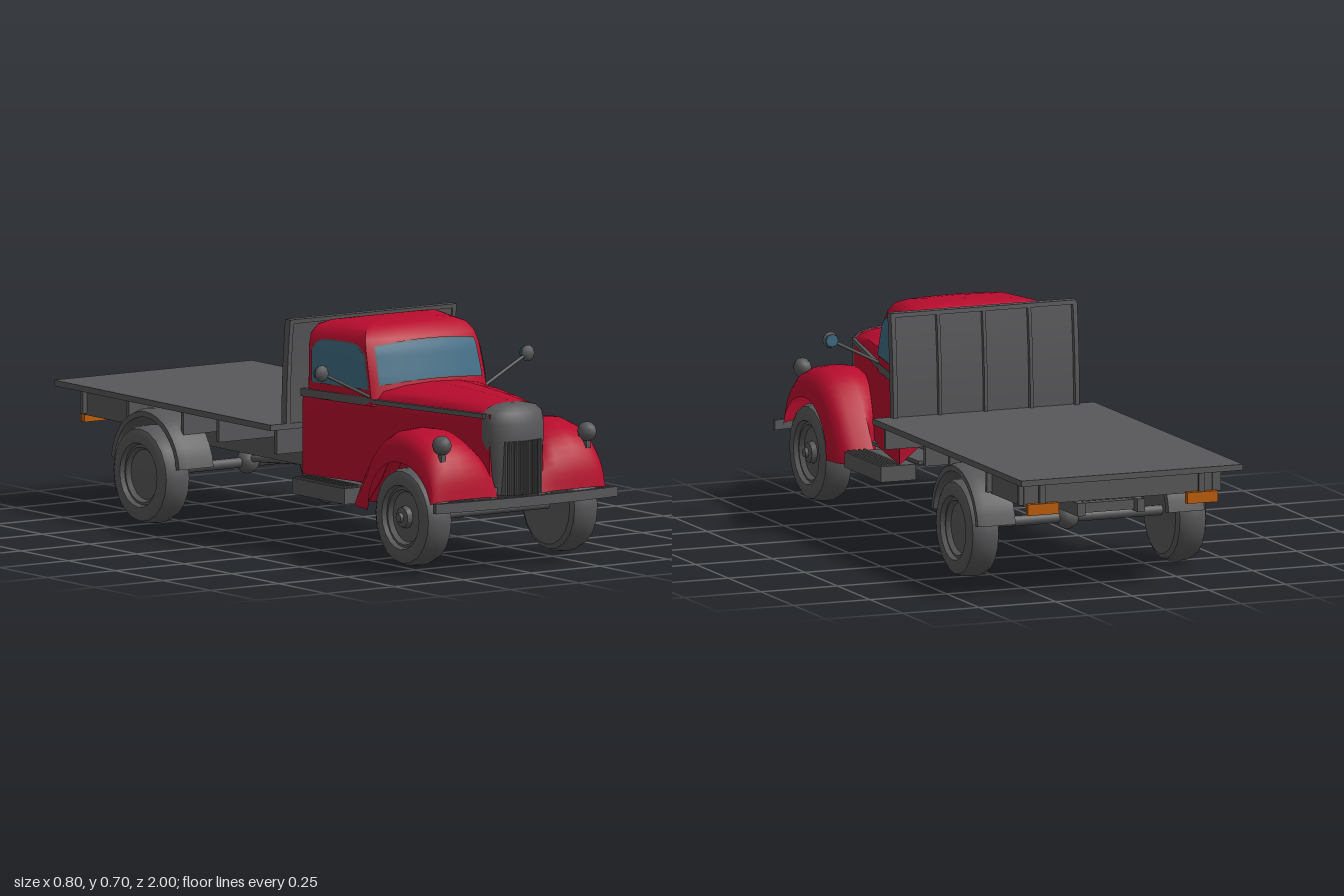
import * as THREE from 'three';
import { toCreasedNormals } from 'three/addons/utils/BufferGeometryUtils.js';

const mat = (name, color) => new THREE.MeshStandardMaterial({ name, color, side: THREE.DoubleSide });
const lerp = THREE.MathUtils.lerp;

// Skin a surface through rings of [x, y, z] points
function loft(rings, closed = false, caps = false) {
  if (caps) {
    const centre = r => { const c = [0, 1, 2].map(k => r.reduce((s, p) => s + p[k], 0) / r.length); return r.map(() => c); };
    rings = [centre(rings[0]), ...rings, centre(rings[rings.length - 1])];
  }
  const n = rings[0].length, idx = [];
  for (let i = 0; i < rings.length - 1; i++)
    for (let j = 0; j < (closed ? n : n - 1); j++) {
      const k = (j + 1) % n, a = i * n + j, b = i * n + k;
      idx.push(a, a + n, b, b, a + n, b + n);
    }
  const g = new THREE.BufferGeometry();
  g.setAttribute('position', new THREE.Float32BufferAttribute(rings.flat(2), 3));
  g.setIndex(idx);
  return toCreasedNormals(g, 0.65);
}

// Surface sampled from f(u, v), both 0..1
function patch(f, nu, nv) {
  const rings = [];
  for (let i = 0; i <= nu; i++) {
    rings.push([]);
    for (let j = 0; j <= nv; j++) rings[i].push(f(i / nu, j / nv));
  }
  return loft(rings);
}

const both = r => [...r, ...r.slice(0, -1).reverse().map(([x, y, z]) => [-x, y, z])];

// Cab upper levels: y, rear half width, front half width, rear z, front z
const LEVELS = [
  [0.46, 0.262, 0.207, 0.17, 0.488], [0.54, 0.26, 0.205, 0.17, 0.47], [0.62, 0.258, 0.201, 0.17, 0.447],
  [0.655, 0.252, 0.194, 0.172, 0.43], [0.68, 0.232, 0.178, 0.182, 0.408], [0.692, 0.195, 0.15, 0.2, 0.38],
  [0.697, 0.13, 0.1, 0.23, 0.34], [0.699, 0.005, 0.005, 0.28, 0.285]];
function level(y) {
  let i = 0;
  while (i < LEVELS.length - 2 && LEVELS[i + 1][0] < y) i++;
  const t = (y - LEVELS[i][0]) / (LEVELS[i + 1][0] - LEVELS[i][0]);
  return LEVELS[i].map((v, k) => lerp(v, LEVELS[i + 1][k], t));
}
const sidePoint = ([y, hb, hf, zb, zf], t, out = 0) => [lerp(hb, hf, t) + out, y, lerp(zb, zf, t)];
const frontPoint = ([y, , hf, , zf], f, out = 0) => [f * hf, y, zf + (0.01 - 0.022 * (f / 0.93) ** 2) * Math.min(1, hf / 0.15) + out];
const bodyWidth = z => z < 0.45 ? lerp(0.262, 0.207, (z - 0.17) / 0.28) : lerp(0.207, 0.097, (z - 0.45) / 0.47);

export function createModel() {
  const red = mat('red paint', 0xb80c2d), grey = mat('grey metal', 0x58585a);
  const glass = mat('blue glass', 0x3f6c84), orange = mat('orange lamp', 0xc05f08);
  const truck = new THREE.Group();
  truck.name = 'flatbedTruck';
  const add = (name, geo, m, x = 0, y = 0, z = 0, parent = truck) => {
    const mesh = new THREE.Mesh(geo, m);
    mesh.name = name;
    mesh.position.set(x, y, z);
    parent.add(mesh);
    return mesh;
  };
  // Box given by its extents
  const box = (name, m, x0, x1, y0, y1, z0, z1, parent) =>
    add(name, new THREE.BoxGeometry(x1 - x0, y1 - y0, z1 - z0), m, (x0 + x1) / 2, (y0 + y1) / 2, (z0 + z1) / 2, parent);
  const rod = (name, a, b, r, parent) => {
    const p = new THREE.Vector3(...a), d = new THREE.Vector3(...b).sub(p);
    const m = add(name, new THREE.CylinderGeometry(r, r, d.length(), 10), grey, 0, 0, 0, parent);
    m.position.copy(p).addScaledVector(d, 0.5);
    m.quaternion.setFromUnitVectors(new THREE.Vector3(0, 1, 0), d.normalize());
  };

  // Lower cab and tapering hood
  const sections = [[0.17, 0.5], [0.3, 0.51], [0.45, 0.523], [0.6, 0.524], [0.75, 0.521], [0.87, 0.514], [0.92, 0.505]];
  add('cabBodyAndHood', loft(sections.map(([z, top]) => {
    const w = bodyWidth(z);
    return both([[w, 0.225, z], [w, 0.45, z], [w * 0.98, 0.478, z], [w * 0.86, top - 0.02, z], [w * 0.5, top - 0.006, z], [0, top, z]]);
  }), false, true), red);
  box('cabFloor', grey, -0.2, 0.2, 0.222, 0.232, 0.172, 0.6);

  // Upper cab with rounded roof
  add('cabRoof', loft(LEVELS.map(L => {
    const [y, hb, , zb] = L;
    return both([[0, y, zb], [hb * 0.6, y, zb], [hb * 0.93, y, zb + 0.004], sidePoint(L, 0.08), sidePoint(L, 0.5),
      sidePoint(L, 0.92), frontPoint(L, 0.93), frontPoint(L, 0.62), frontPoint(L, 0.31), frontPoint(L, 0)]);
  })), red);

  // Windscreen with thin surround
  const screen = (grow, out) => patch((u, v) => {
    const t = 2 * u - 1;
    const y = lerp(0.535 - 0.011 * t * t - grow, 0.646 - 0.013 * t * t + grow, v);
    return frontPoint(level(y), t * (0.905 + grow * 4), out);
  }, 12, 8);
  add('windscreenSurround', screen(0.004, 0.004), grey);
  add('windscreen', screen(0, 0.007), glass);

  // Grille shell and bars
  const shell = [[0.235, 0.09, 0.95], [0.3, 0.095, 0.96], [0.4, 0.104, 0.967], [0.45, 0.105, 0.965],
    [0.482, 0.1, 0.953], [0.498, 0.082, 0.94], [0.508, 0.04, 0.922], [0.51, 0.005, 0.905]];
  add('grilleShell', loft(shell.map(([y, w, zf]) => Array.from({ length: 17 }, (_, i) => {
    const a = Math.PI * i / 16;
    return [w * Math.cos(a), y, 0.89 + (zf - 0.89) * Math.sin(a) ** 0.8];
  }))), grey);
  for (let i = 0; i < 13; i++) {
    const x = (i - 6) * 0.0105, z = 0.89 + 0.075 * (1 - (x / 0.1) ** 2) ** 0.4;
    box('grilleBar', grey, x - 0.0025, x + 0.0025, 0.236, 0.4, z - 0.018, z + 0.009);
  }

  // Curved front bumper
  add('frontBumper', loft(Array.from({ length: 13 }, (_, i) => {
    const t = (i - 6) / 6, x = t * 0.333, z = 0.988 - 0.022 * t * t;
    return [[x, 0.205, z - 0.005], [x, 0.235, z - 0.005], [x, 0.235, z + 0.011], [x, 0.205, z + 0.011]];
  }), true, true), grey);

  // Fender stations: outer z, y, arch z, y, inner x
  const stations = [[0.945, 0.235, 0.93, 0.225, 0.09], [0.935, 0.31, 0.905, 0.27, 0.1], [0.895, 0.38, 0.86, 0.31, 0.113],
    [0.82, 0.42, 0.81, 0.33, 0.12], [0.73, 0.43, 0.74, 0.335, 0.125], [0.65, 0.405, 0.68, 0.315, 0.13],
    [0.575, 0.335, 0.63, 0.27, 0.15], [0.515, 0.25, 0.605, 0.22, 0.18], [0.465, 0.175, 0.6, 0.172, 0.2]];
  const curve = new THREE.CatmullRomCurve3(stations.map(s => new THREE.Vector3(s[0], s[1], s[4])));
  const arch = new THREE.CatmullRomCurve3(stations.map(s => new THREE.Vector3(s[2], s[3], 0)));
  const fender = loft(Array.from({ length: 25 }, (_, i) => {
    const o = curve.getPoint(i / 24), a = arch.getPoint(i / 24);
    return [[o.z - 0.01, 0.5], [o.z + 0.01, 0.3], [o.z + 0.035, 0.08], [0.21, 0], [0.265, 0.05], [0.295, 0.2], [0.313, 0.5], [0.32, 1]]
      .map(([x, k]) => [x, lerp(o.y, a.y, k), lerp(o.x, a.x, k)]);
  }));

  // Parts repeated on each side
  for (const s of [1, -1]) {
    const side = new THREE.Group();
    side.name = s > 0 ? 'leftSide' : 'rightSide';
    side.scale.x = s;
    truck.add(side);
    const sideGlass = (g, out) => patch((u, v) => {
      const y = lerp(0.512 - g, 0.64 + g - 0.035 * Math.abs(2 * u - 1) ** 6, v);
      return sidePoint(level(y), lerp(0.14 - g * 3, 0.9 + g * 3, u), out);
    }, 16, 6);
    add('sideWindowSurround', sideGlass(0.004, 0.003), grey, 0, 0, 0, side);
    add('sideWindow', sideGlass(0, 0.006), glass, 0, 0, 0, side);
    add('sideTrim', loft([0.168, 0.45, 0.46, 0.68, 0.9].map(z => {
      const w = bodyWidth(z), h = z < 0.455 ? 0.012 : 0.007;
      return [[w - 0.02, 0.474 - h, z], [w + 0.006, 0.474 - h, z], [w + 0.006, 0.474 + h, z], [w - 0.02, 0.474 + h, z]];
    }), true, true), grey, 0, 0, 0, side);
    add('frontFender', fender, red, 0, 0, 0, side);
    add('headlight', new THREE.SphereGeometry(0.03, 8, 6), grey, 0.265, 0.4, 0.91, side);
    box('headlightStem', grey, 0.258, 0.272, 0.35, 0.38, 0.9, 0.918, side);
    rod('mirrorArm', [0.2, 0.483, 0.45], [0.37, 0.568, 0.437], 0.005, side);
    add('mirrorHousing', new THREE.SphereGeometry(0.025, 8, 6), grey, 0.376, 0.571, 0.436, side).scale.z = 0.6;
    add('mirrorGlass', new THREE.CylinderGeometry(0.02, 0.02, 0.006, 8), glass, 0.376, 0.571, 0.422, side).rotation.x = Math.PI / 2;
    // Ridged running board
    box('runningBoard', grey, 0.2, 0.315, 0.172, 0.22, 0.19, 0.468, side);
    for (let i = 0; i < 4; i++) box('stepRidge', grey, 0.25 + i * 0.017, 0.258 + i * 0.017, 0.219, 0.226, 0.2, 0.46, side);
    // Chassis and under-bed parts
    box('chassisRail', grey, 0.085, 0.11, 0.212, 0.28, -0.6, 0.6, side);
    box('frontRail', grey, 0.075, 0.1, 0.215, 0.26, 0.59, 0.93, side);
    box('rearRail', grey, 0.085, 0.11, 0.225, 0.265, -0.84, -0.59, side);
    rod('bumperArm', [0.13, 0.22, 0.89], [0.13, 0.22, 0.985], 0.006, side);
    box('rearSideBoard', grey, 0.3, 0.315, 0.28, 0.352, -0.91, -0.65, side);
    box('tailLamp', orange, 0.21, 0.31, 0.256, 0.29, -0.93, -0.912, side);
    box('tailLampBracket', grey, 0.25, 0.27, 0.285, 0.37, -0.925, -0.915, side);
    add('rearMudguard', loft(Array.from({ length: 17 }, (_, i) => {
      const a = lerp(0.14, Math.PI - 0.14, i / 16), c = Math.cos(a), n = Math.sin(a);
      return [[0.25, 0.165], [0.37, 0.165], [0.37, 0.182], [0.345, 0.19], [0.25, 0.19]].map(([x, r]) => [x, 0.16 + r * n, -0.505 + r * c]);
    }), true, true), grey, 0, 0, 0, side);
  }

  // Wheels: rounded tyre, dished rim and hub
  const tyre = [[0.09, 0.03], [0.098, 0.048], [0.125, 0.05], [0.14, 0.042], [0.148, 0.022], [0.15, 0],
    [0.148, -0.022], [0.14, -0.042], [0.125, -0.05], [0.09, -0.045], [0, -0.045]];
  const lathe = pts => toCreasedNormals(new THREE.LatheGeometry(pts.map(p => new THREE.Vector2(...p)), 20), 0.6);
  const tyreGeo = lathe(tyre);
  const rimGeo = lathe([[0.094, 0.034], [0.084, 0.036], [0.076, 0.022], [0.035, 0.026], [0, 0.026]]);
  const hubGeo = lathe([[0.036, 0.02], [0.03, 0.042], [0.015, 0.046], [0.013, 0.056], [0, 0.056]]);
  for (const [name, x, y, z, hub] of [['frontLeftWheel', 0.267, 0.168, 0.763, 1], ['frontRightWheel', -0.267, 0.168, 0.763, 1],
    ['rearLeftWheel', 0.325, 0.152, -0.5, 0], ['rearRightWheel', -0.351, 0.152, -0.5, 0]]) {
    const wheel = new THREE.Group();
    wheel.name = name;
    wheel.position.set(x, y, z);
    wheel.rotation.z = x > 0 ? -Math.PI / 2 : Math.PI / 2;
    truck.add(wheel);
    add('tyre', tyreGeo, grey, 0, 0, 0, wheel);
    add('rim', rimGeo, grey, 0, 0, 0, wheel);
    if (hub) add('hub', hubGeo, grey, 0, 0, 0, wheel);
  }
  rod('frontAxle', [-0.25, 0.165, 0.763], [0.25, 0.165, 0.763], 0.014);
  rod('rearAxle', [-0.32, 0.16, -0.5], [0.32, 0.16, -0.5], 0.016);
  add('differential', new THREE.SphereGeometry(0.036, 10, 8), grey, 0, 0.16, -0.5);
  rod('driveShaft', [0, 0.17, -0.5], [0, 0.24, 0.3], 0.01);

  // Flat bed with cross members
  box('bedDeck', grey, -0.362, 0.362, 0.36, 0.378, -1, 0.145);
  for (const z of [0.125, -0.18, -0.368, -0.655, -0.9]) box('bedCrossMember', grey, -0.33, 0.33, 0.285, 0.362, z - 0.007, z + 0.007);
  for (const z of [0.55, 0.15, -0.25, -0.8]) box('chassisCrossMember', grey, -0.09, 0.09, 0.23, 0.26, z - 0.015, z + 0.015);

  // Curved headboard made of a panel, posts and rails
  const slab = (name, x0, x1, y0, y1, d0, d1) => add(name, loft(Array.from({ length: 9 }, (_, i) => {
    const y = lerp(y0, y1, i / 8), z = 0.146 + 0.02 * ((y - 0.37) / 0.325) ** 2;
    return [[x0, y, z - d0], [x1, y, z - d0], [x1, y, z - d1], [x0, y, z - d1]];
  }), true, true), grey);
  slab('headboardPanel', -0.3, 0.3, 0.37, 0.69, 0.005, 0.012);
  for (const x of [-0.149, 0, 0.149]) slab('headboardPost', x - 0.005, x + 0.005, 0.37, 0.69, 0.01, 0.025);
  for (const x of [-0.297, 0.297]) slab('headboardEdge', x - 0.007, x + 0.007, 0.37, 0.695, 0, 0.027);
  slab('headboardTopRail', -0.304, 0.304, 0.682, 0.695, 0, 0.027);
  return truck;
}
